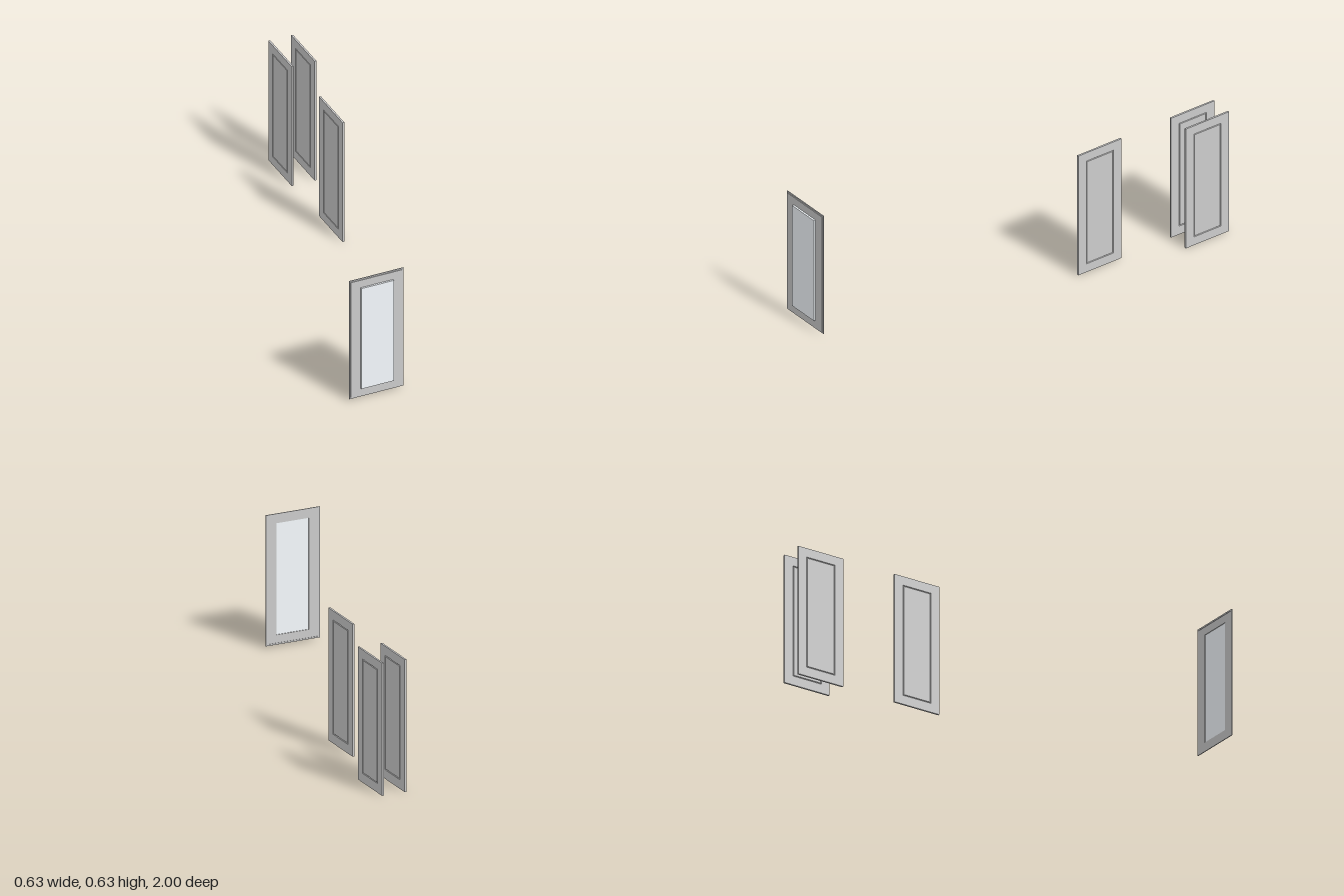
import * as THREE from 'three';

const grey = new THREE.MeshStandardMaterial({ color: 0xcccccc });
const glass = new THREE.MeshStandardMaterial({ color: 0xf6fbff });

// Flat rectangular ring from z0 to z1, centred on the window's middle
function ring(name, w, h, holeW, holeH, z0, z1) {
  const rect = (target, a, b) => target
    .moveTo(-a / 2, -b / 2).lineTo(a / 2, -b / 2)
    .lineTo(a / 2, b / 2).lineTo(-a / 2, b / 2).closePath();
  const shape = rect(new THREE.Shape(), w, h);
  shape.holes.push(rect(new THREE.Path(), holeW, holeH));
  const geometry = new THREE.ExtrudeGeometry(shape, { depth: z1 - z0, bevelEnabled: false });
  const mesh = new THREE.Mesh(geometry, grey);
  mesh.name = name;
  mesh.position.z = z0;
  return mesh;
}

// Closed solid through nested rectangles [width, height, z], front to back
function loftRectangles(loops) {
  const positions = [];
  const index = [];
  for (const [w, h, z] of loops) {
    for (const [sx, sy] of [[-1, -1], [1, -1], [1, 1], [-1, 1]]) {
      positions.push(sx * w / 2, sy * h / 2, z);
    }
  }
  for (let i = 0; i < loops.length - 1; i++) {
    for (let k = 0; k < 4; k++) {
      const a = i * 4 + k;
      const b = i * 4 + (k + 1) % 4;
      index.push(a, a + 4, b + 4, a, b + 4, b);
    }
  }
  const last = (loops.length - 1) * 4;
  index.push(0, 1, 2, 0, 2, 3, last, last + 2, last + 1, last, last + 3, last + 2);
  const indexed = new THREE.BufferGeometry();
  indexed.setAttribute('position', new THREE.Float32BufferAttribute(positions, 3));
  indexed.setIndex(index);
  const geometry = indexed.toNonIndexed();
  geometry.computeVertexNormals();
  return geometry;
}

// Door leaf with a sloped groove around its field on both faces
function createDoorGeometry() {
  const half = [
    [0.143, 0.533, 0.0045],
    [0.148, 0.538, 0.0015],
    [0.153, 0.543, 0.0045],
    [0.243, 0.63, 0.0045],
  ];
  const back = half.map(([w, h, z]) => [w, h, -z]).reverse();
  return loftRectangles([...half, ...back]);
}

// Window: raised front frame, thin rim standing out behind, pane proud of the front
function createWindow() {
  const win = new THREE.Group();
  win.name = 'window';
  const pane = new THREE.Mesh(new THREE.BoxGeometry(0.161, 0.53, 0.011), glass);
  pane.name = 'pane';
  pane.position.z = 0.0075;
  win.add(
    ring('outerRim', 0.27, 0.622, 0.256, 0.608, -0.003, 0.001),
    ring('frontFrame', 0.256, 0.608, 0.161, 0.53, -0.001, 0.004),
    pane,
  );
  return win;
}

export function createModel() {
  const model = new THREE.Group();
  const tilt = 0.024;

  // Three doors standing along z, each turned slightly
  const doorGeometry = createDoorGeometry();
  const doors = [
    ['frontDoor', 0.207, -0.357],
    ['backInnerDoor', 0.193, -0.879],
    ['backOuterDoor', 0.305, -0.879],
  ];
  for (const [name, x, z] of doors) {
    const door = new THREE.Mesh(doorGeometry, grey);
    door.name = name;
    door.position.set(x, 0.315, z);
    door.rotation.y = Math.PI / 2 + tilt;
    model.add(door);
  }

  // Window facing the front
  const win = createWindow();
  win.position.set(-0.179, 0.319, 0.985);
  win.rotation.y = tilt;
  model.add(win);
  return model;
}
